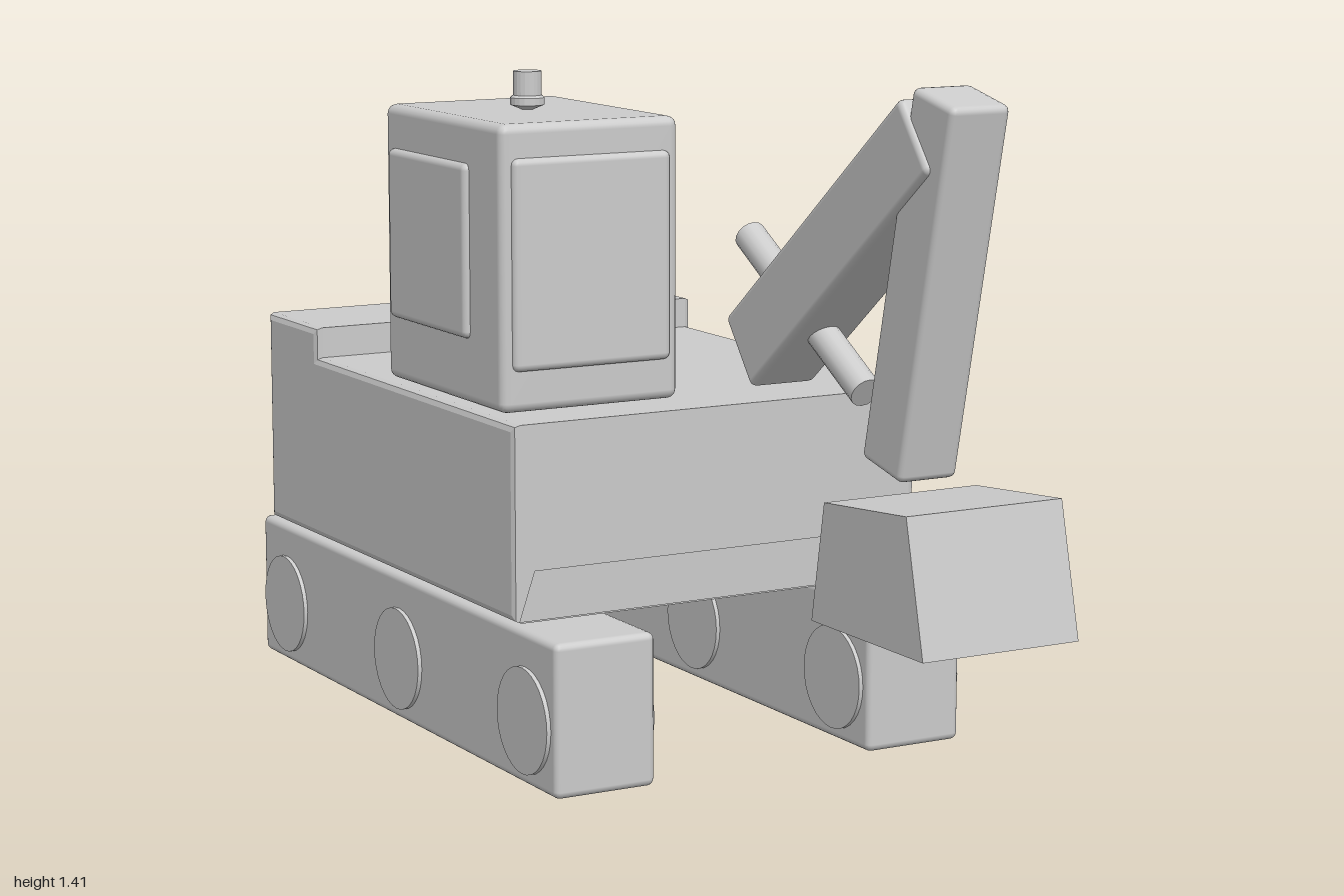
import * as THREE from 'three';
import { RoundedBoxGeometry } from 'three/addons/geometries/RoundedBoxGeometry.js';

export function createModel() {
  const model = new THREE.Group();
  const material = new THREE.MeshStandardMaterial({ color: 0xcccccc });
  const sheet = new THREE.MeshStandardMaterial({ color: 0xcccccc, side: THREE.DoubleSide });

  const add = (name, geometry, x = 0, y = 0, z = 0, mat = material) => {
    const mesh = new THREE.Mesh(geometry, mat);
    mesh.name = name;
    mesh.position.set(x, y, z);
    model.add(mesh);
    return mesh;
  };

  // Softly rounded box given by its limits on each axis
  const block = (name, [x0, x1], [y0, y1], [z0, z1], r = 0.015) =>
    add(name, new RoundedBoxGeometry(x1 - x0, y1 - y0, z1 - z0, 2, r),
      (x0 + x1) / 2, (y0 + y1) / 2, (z0 + z1) / 2);

  // Side profile of (z, y) points, extruded across x
  const profile = (name, points, x0, x1, bevel = 0) => {
    const shape = new THREE.Shape(points.map(([z, y]) => new THREE.Vector2(z, y)));
    const geometry = new THREE.ExtrudeGeometry(shape, {
      depth: x1 - x0 - 2 * bevel, bevelEnabled: bevel > 0, bevelThickness: bevel,
      bevelSize: bevel, bevelOffset: -bevel, bevelSegments: 2,
    });
    geometry.translate(0, 0, bevel - (x1 - x0) / 2).rotateY(-Math.PI / 2);
    return add(name, geometry, (x0 + x1) / 2);
  };

  // Tracks, each with three wheels showing on both faces
  for (const [side, x] of [['right', -0.378], ['left', 0.352]]) {
    block(side + 'Track', [x - 0.113, x + 0.113], [0.003, 0.32], [-1, 0.452]);
    for (const z of [0.32, -0.27, -0.865]) {
      const wheel = new THREE.CylinderGeometry(0.11, 0.11, 0.244, 32).rotateZ(Math.PI / 2);
      add(side + 'Wheel', wheel, x, 0.138, z);
    }
  }

  // Body with the raised counterweight at the back
  profile('body', [
    [0.275, 0.325], [0.275, 0.73], [-0.685, 0.73],
    [-0.685, 0.797], [-0.953, 0.797], [-0.953, 0.325],
  ].reverse(), -0.49, 0.463, 0.015);

  // Slanted thin plate across the front of the body
  const plate = new THREE.Shape([[-0.485, 0.33], [0.46, 0.33], [0.495, 0.433], [-0.45, 0.433]]
    .map(([x, y]) => new THREE.Vector2(x, y)));
  add('frontPlate', new THREE.ShapeGeometry(plate), 0, 0, 0.284, sheet);

  // Cab with its front and side windows
  block('cab', [-0.468, -0.06], [0.735, 1.32], [-0.36, 0.182], 0.02);
  block('frontWindow', [-0.445, -0.083], [0.82, 1.252], [0.15, 0.195]);
  block('sideWindow', [-0.481, -0.44], [0.87, 1.23], [-0.325, 0.04]);

  // Stepped roof stack
  const stack = [[0, 1.315], [0.036, 1.33], [0.036, 1.345], [0.03, 1.35], [0.03, 1.4], [0, 1.4]];
  const stackGeometry = new THREE.LatheGeometry(
    stack.map(([r, y]) => new THREE.Vector2(r, y)), 20).toNonIndexed();
  stackGeometry.computeVertexNormals();
  add('roofStack', stackGeometry, -0.265, 0, -0.095);

  // Arm: boom, stick and hydraulic ram
  const armX = 0.191;
  const boom = add('boom', new RoundedBoxGeometry(0.156, 0.173, 0.841, 2, 0.015), armX, 1.067, 0.455);
  boom.rotation.x = -Math.atan2(0.518, 0.663);
  const stick = add('stick', new RoundedBoxGeometry(0.136, 0.773, 0.147, 2, 0.015), armX, 1.024, 0.751);
  stick.rotation.x = Math.atan2(0.171, 0.754);
  const ram = add('ram', new THREE.CylinderGeometry(0.034, 0.034, 0.535, 16), armX, 0.909, 0.275);
  ram.rotation.x = -Math.atan2(0.46, 0.268);

  // Bucket flaring towards its lower edge
  profile('bucket', [[0.596, 0.342], [1, 0.342], [0.936, 0.615], [0.64, 0.59]], 0.01, 0.372);

  return model;
}
